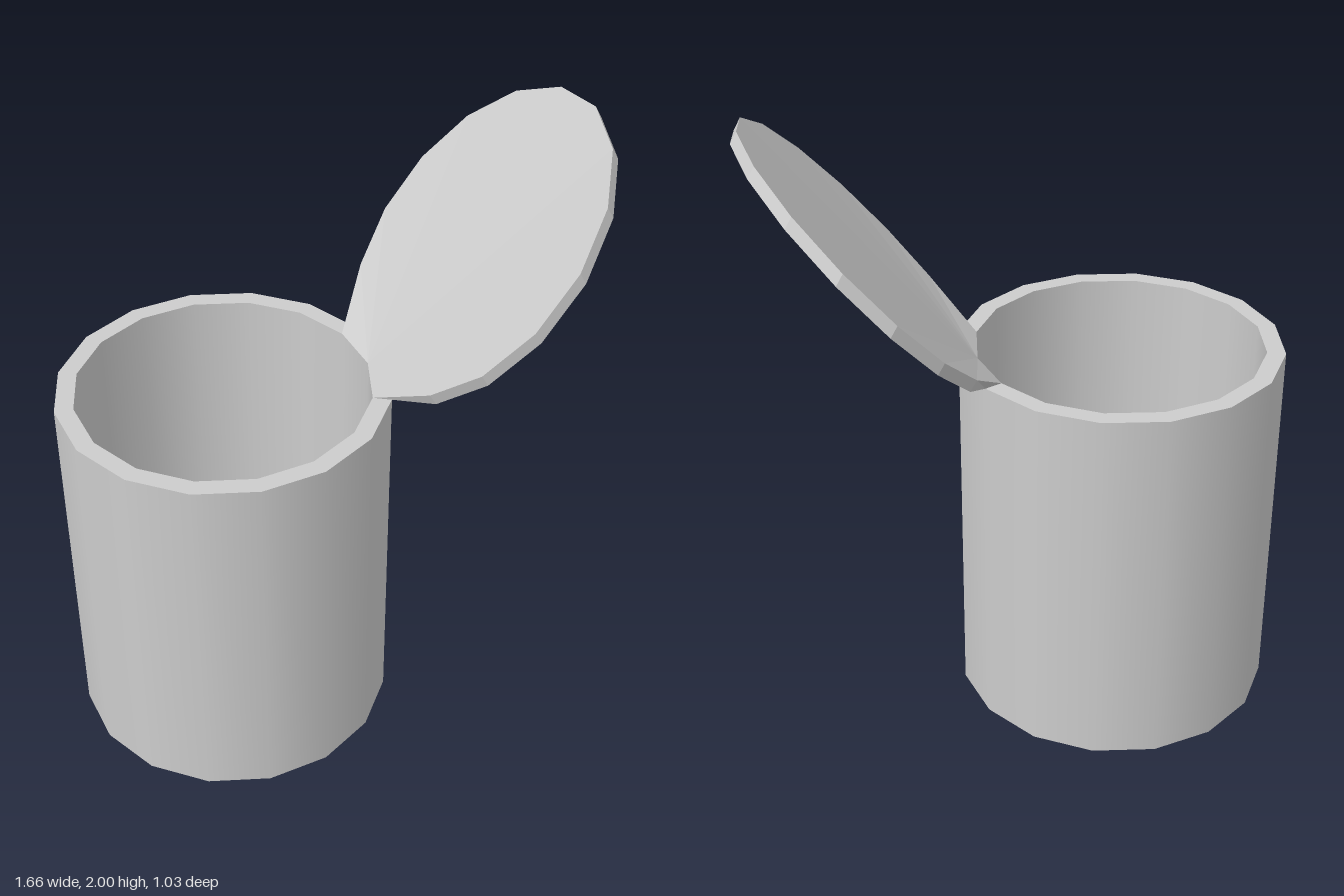
import * as THREE from 'three';

const SIDES = 16, HEIGHT = 1.215, CENTER = -0.318;
const OUTER = 0.513, INNER = 0.455, FLOOR = 0.05;

export function createModel() {
  const model = new THREE.Group();
  model.name = 'openCan';
  const metal = new THREE.MeshStandardMaterial({ color: 0xcccccc });
  metal.name = 'grey metal';

  // Can: each profile segment is its own lathe so the rims stay sharp
  const can = new THREE.Group();
  can.name = 'can';
  can.position.x = CENTER;
  const ring = (name, r0, y0, r1, y1) => {
    const profile = [new THREE.Vector2(r0, y0), new THREE.Vector2(r1, y1)];
    const mesh = new THREE.Mesh(new THREE.LatheGeometry(profile, SIDES), metal);
    mesh.name = name;
    can.add(mesh);
  };
  ring('outerWall', OUTER, 0, OUTER, HEIGHT);
  ring('rim', OUTER, HEIGHT, INNER, HEIGHT);
  ring('innerWall', INNER, HEIGHT, INNER, FLOOR);
  ring('floor', INNER, FLOOR, 0, FLOOR);
  ring('base', 0, 0, OUTER, 0);
  model.add(can);

  // Lid: two tilted rings whose lowest corners join the can's rim
  const hinge = SIDES / 2;
  const lidRing = (cx, cy, rimRadius, pulled) => Array.from({ length: SIDES }, (_, k) => {
    const a = (k / SIDES) * Math.PI * 2;
    if (Math.abs(k - hinge) <= pulled) {
      return [CENTER - rimRadius * Math.cos(a), HEIGHT, rimRadius * Math.sin(a)];
    }
    return [cx + 0.345 * Math.cos(a), cy + 0.387 * Math.sin(a + Math.PI / 2), 0.515 * Math.sin(a)];
  });
  const upper = lidRing(0.46, 1.613, INNER, 1);
  const lower = lidRing(0.48, 1.578, OUTER, 1);
  const corners = [];
  const tri = (a, b, c) => corners.push(...a, ...b, ...c);
  for (let k = 0; k < SIDES; k++) {
    const n = (k + 1) % SIDES;
    // Faces fan out from the hinge corner
    if (k !== hinge && n !== hinge) {
      tri(upper[hinge], upper[n], upper[k]);
      tri(lower[hinge], lower[k], lower[n]);
    }
    // Edge band, left out where the lid meets the rim
    if (k !== hinge && n !== hinge) {
      tri(upper[k], upper[n], lower[k]);
      tri(upper[n], lower[n], lower[k]);
    }
  }
  const lidGeometry = new THREE.BufferGeometry();
  lidGeometry.setAttribute('position', new THREE.Float32BufferAttribute(corners, 3));
  lidGeometry.computeVertexNormals();
  const lid = new THREE.Mesh(lidGeometry, metal);
  lid.name = 'lid';
  model.add(lid);

  return model;
}
